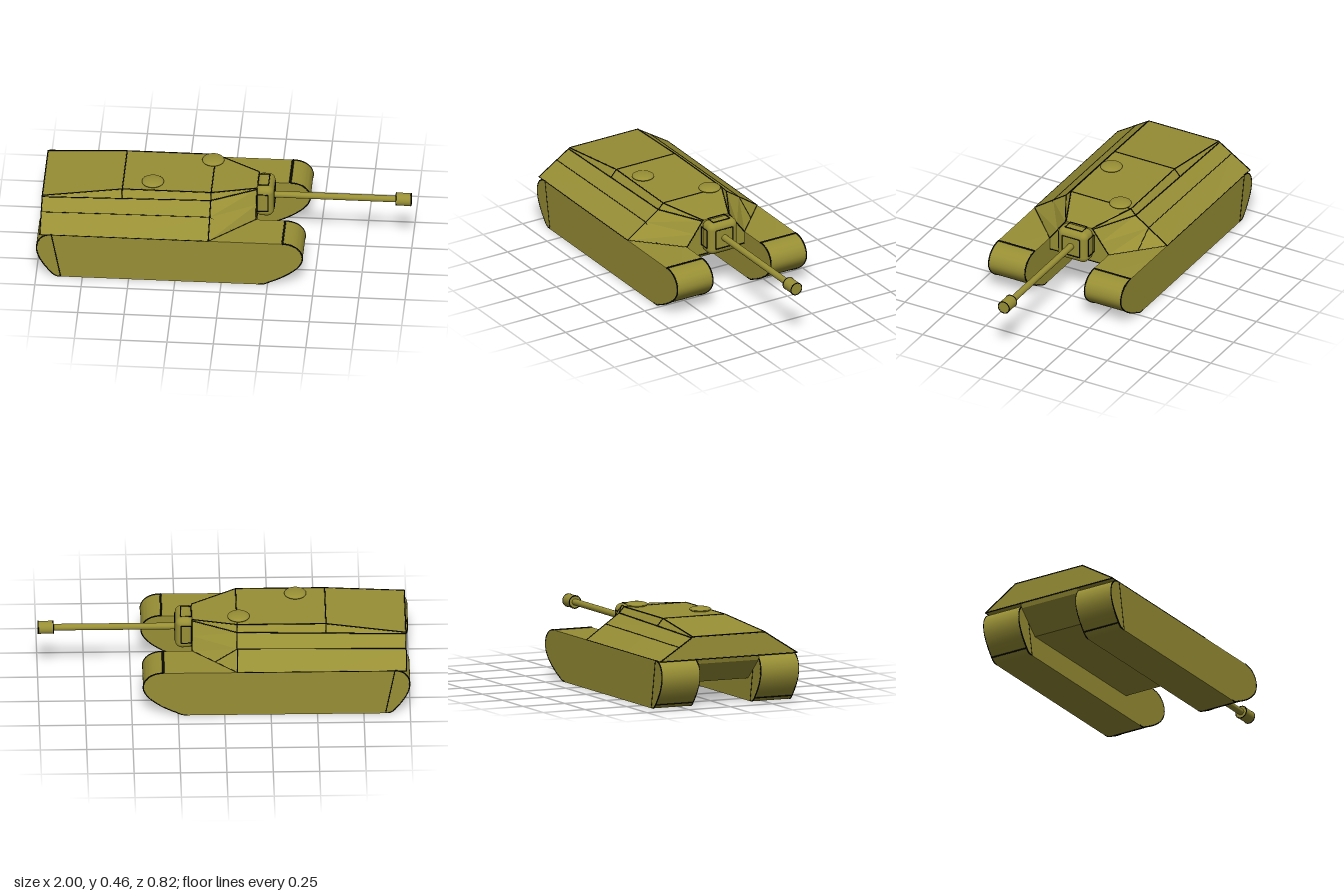
import * as THREE from 'three';
import { toCreasedNormals } from 'three/addons/utils/BufferGeometryUtils.js';
import { RoundedBoxGeometry } from 'three/addons/geometries/RoundedBoxGeometry.js';

const olive = new THREE.MeshStandardMaterial({ color: 0x988f35 });
olive.name = 'olive';
const black = new THREE.MeshStandardMaterial({ color: 0x0a0a06 });
black.name = 'black';

function add(parent, name, geometry, material = olive) {
  const mesh = new THREE.Mesh(geometry, material);
  mesh.name = name;
  parent.add(mesh);
  return mesh;
}

// Thin painted seam running through a list of points
function seam(parent, points, r = 0.003) {
  for (let i = 0; i < points.length - 1; i++) {
    const a = new THREE.Vector3(...points[i]);
    const b = new THREE.Vector3(...points[i + 1]);
    const dir = b.clone().sub(a);
    const m = add(parent, 'seam', new THREE.CylinderGeometry(r, r, dir.length(), 5), black);
    m.position.copy(a).add(b).multiplyScalar(0.5);
    m.quaternion.setFromUnitVectors(new THREE.Vector3(0, 1, 0), dir.normalize());
  }
}

// Same seam on both sides of the vehicle
function seamPair(parent, points, r) {
  seam(parent, points, r);
  seam(parent, points.map(([x, y, z]) => [x, y, -z]), r);
}

// Extrude a side profile across z, centred on z = zc
function extrude(shape, width, zc) {
  const g = new THREE.ExtrudeGeometry(shape, { depth: width, bevelEnabled: false, curveSegments: 12 });
  g.translate(0, 0, zc - width / 2);
  return toCreasedNormals(g, 0.5);
}

// Skin between half sections [y, z] placed at stations along x
function loft(stations) {
  const rings = stations.map(({ x, pts }) => [
    ...pts.map(([y, z]) => [x, y, z]),
    ...pts.slice().reverse().map(([y, z]) => [x, y, -z])
  ]);
  const pos = [], n = rings[0].length, last = rings[rings.length - 1];
  for (let i = 0; i < rings.length - 1; i++) {
    for (let j = 0; j < n; j++) {
      const k = (j + 1) % n, a = rings[i], b = rings[i + 1];
      pos.push(...a[j], ...b[j], ...b[k], ...a[j], ...b[k], ...a[k]);
    }
  }
  for (let k = 1; k < n - 1; k++) {
    pos.push(...rings[0][0], ...rings[0][k], ...rings[0][k + 1]);
    pos.push(...last[0], ...last[k + 1], ...last[k]);
  }
  const g = new THREE.BufferGeometry();
  g.setAttribute('position', new THREE.Float32BufferAttribute(pos, 3));
  g.computeVertexNormals();
  return g;
}

function buildTracks(root) {
  const s = new THREE.Shape();
  s.moveTo(-0.87, 0);
  s.lineTo(0.2, 0);
  s.quadraticCurveTo(0.23, 0, 0.26, 0.018);
  s.bezierCurveTo(0.36, 0.06, 0.44, 0.12, 0.44, 0.175);
  s.bezierCurveTo(0.44, 0.225, 0.4, 0.266, 0.33, 0.266);
  s.lineTo(-0.92, 0.266);
  s.bezierCurveTo(-0.98, 0.266, -1, 0.22, -1, 0.18);
  s.bezierCurveTo(-1, 0.12, -0.95, 0.06, -0.92, 0.025);
  s.quadraticCurveTo(-0.9, 0, -0.87, 0);
  const outline = s.getPoints(10);
  for (const side of [1, -1]) {
    const group = new THREE.Group();
    group.name = side > 0 ? 'leftTrack' : 'rightTrack';
    root.add(group);
    add(group, 'trackBody', extrude(s, 0.228, side * 0.296));
    // Dark rims on the rounded ends, and cross seams
    for (const z of [0.184, 0.408]) {
      const rim = outline.map(p => [p.x * 0.997, Math.max(p.y, 0.003), z * side]);
      seam(group, rim.filter(p => p[0] > 0.19), 0.004);
      seam(group, rim.filter(p => p[0] < -0.86), 0.004);
    }
    for (const [x, y, r] of [[0.33, 0.264, 0.007], [0.295, 0.036, 0.004], [0.245, 0.01, 0.004],
      [-0.92, 0.025, 0.004], [-0.996, 0.18, 0.004]]) {
      seam(group, [[x, y, side * 0.184], [x, y, side * 0.408]], r);
    }
  }
}

function buildHull(root) {
  const hull = new THREE.Group();
  hull.name = 'hull';
  root.add(hull);

  // Lower hull between the tracks
  const low = new THREE.Shape();
  [[-0.98, 0.27], [-0.97, 0.24], [-0.84, 0.122], [0.06, 0.122], [0.168, 0.197], [0.168, 0.27]]
    .forEach(([x, y], i) => (i ? low.lineTo(x, y) : low.moveTo(x, y)));
  add(hull, 'lowerHull', extrude(low, 0.366, 0));
  seam(hull, [[0.168, 0.197, -0.18], [0.168, 0.197, 0.18]]);

  // Sloped casemate, from the rear plate to the narrowed nose
  const A = [0.266, 0.41], B = [0.345, 0.295], C = [0.4, 0.215], D = [0.432, 0.185];
  const stations = [
    { x: -0.98, pts: [A, [0.338, 0.297], [0.386, 0.222], [0.391, 0.216]] },
    { x: -0.55, pts: [A, [0.342, 0.296], [0.393, 0.219], D] },
    { x: -0.07, pts: [A, B, C, D] },
    { x: 0.17, pts: [[0.266, 0.182], [0.33, 0.134], [0.397, 0.085], [0.402, 0.08]] }
  ];
  add(hull, 'casemate', loft(stations));

  // Plate seams
  const at = (i, j) => [stations[i].x, ...stations[i].pts[j]];
  for (const j of [2, 3]) seamPair(hull, [0, 1, 2, 3].map(i => at(i, j)));
  seamPair(hull, [at(0, 1), at(1, 1), at(2, 1), [0.05, 0.266, 0.297]], 0.002);
  seamPair(hull, [at(0, 0), at(2, 0), at(3, 0)], 0.002);
  for (const i of [0, 2, 3]) seamPair(hull, [0, 1, 2, 3].map(j => at(i, j)));
  seamPair(hull, [at(1, 2), at(1, 3)]);
  for (const i of [0, 1, 2]) {
    const [x, y, z] = at(i, 3);
    seam(hull, [[x, y, z], [x, y, -z]]);
  }
  seam(hull, [[-0.98, 0.266, -0.41], [-0.98, 0.266, 0.41]]);

  // Domed hatches
  for (const [x, z] of [[-0.39, 0.115], [-0.08, -0.115]]) {
    const hatch = add(hull, 'hatch', new THREE.SphereGeometry(0.06, 28, 14));
    hatch.scale.y = 0.27;
    hatch.position.set(x, 0.443, z);
  }
}

function buildGun(root) {
  const gun = new THREE.Group();
  gun.name = 'gun';
  root.add(gun);
  const y = 0.314;

  const mantlet = add(gun, 'mantlet', new RoundedBoxGeometry(0.1, 0.186, 0.184, 5, 0.036));
  mantlet.position.set(0.21, 0.312, 0);

  // Panel outlines on the mantlet faces
  seam(gun, [[0.26, 0.257, -0.054], [0.26, 0.366, -0.054], [0.26, 0.366, 0.054],
    [0.26, 0.257, 0.054], [0.26, 0.257, -0.054]]);
  for (const h of [0.405, 0.219]) {
    seam(gun, [[0.172, h, -0.052], [0.23, h, -0.052], [0.23, h, 0.052], [0.172, h, 0.052], [0.172, h, -0.052]]);
  }
  seamPair(gun, [[0.172, 0.26, 0.092], [0.23, 0.26, 0.092], [0.23, 0.366, 0.092],
    [0.172, 0.366, 0.092], [0.172, 0.26, 0.092]]);

  // Barrel and muzzle brake
  for (const [name, r, x0, x1] of [['barrel', 0.018, 0.24, 0.93], ['muzzleBrake', 0.035, 0.915, 0.998]]) {
    const m = add(gun, name, new THREE.CylinderGeometry(r, r, x1 - x0, 28));
    m.rotation.z = -Math.PI / 2;
    m.position.set((x0 + x1) / 2, y, 0);
  }
  for (const x of [0.916, 0.997]) {
    const rim = add(gun, 'muzzleRim', new THREE.TorusGeometry(0.034, 0.003, 6, 28), black);
    rim.rotation.y = Math.PI / 2;
    rim.position.set(x, y, 0);
  }
}

export function createModel() {
  const root = new THREE.Group();
  root.name = 'assaultGun';
  buildTracks(root);
  buildHull(root);
  buildGun(root);
  return root;
}
